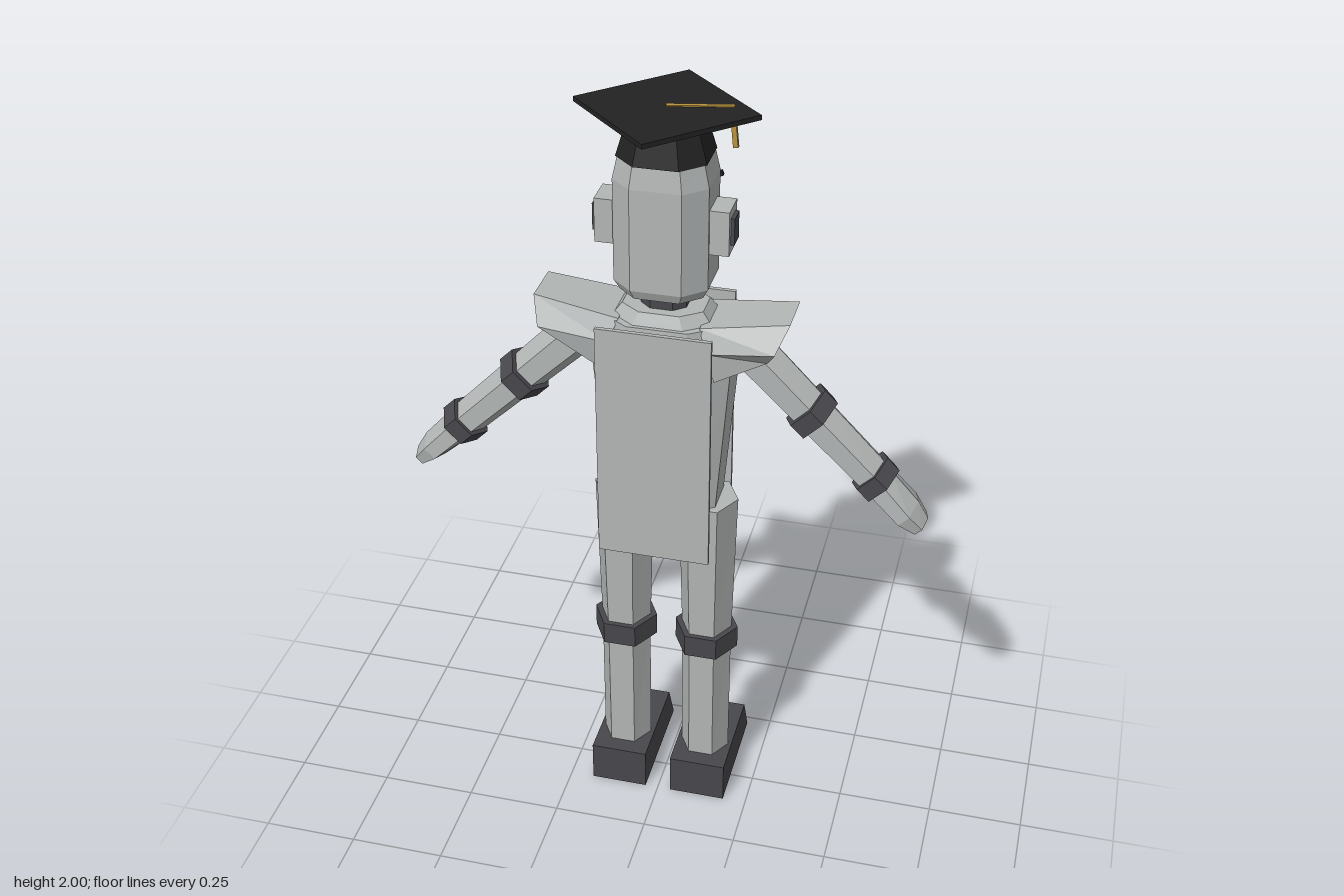
import * as THREE from 'three';

const mat = (name, color) => {
  const m = new THREE.MeshStandardMaterial({ color });
  m.name = name;
  return m;
};

// Ring outlines, counter-clockwise seen from above
const hex = (y, rx, rz) => [[1, 0], [0.5, -1], [-0.5, -1], [-1, 0], [-0.5, 1], [0.5, 1]]
  .map(([x, z]) => [x * rx, y, z * rz]);
const oct = (y, rx, rz, k = 0.5) => [[1, -k], [k, -1], [-k, -1], [-1, -k], [-1, k], [-k, 1], [k, 1], [1, k]]
  .map(([x, z]) => [x * rx, y, z * rz]);

// Skin closed rings, first to last, with flat end caps
function loft(rings) {
  const pos = [];
  const n = rings[0].length;
  const tri = (a, b, c) => pos.push(...a, ...b, ...c);
  for (let r = 0; r < rings.length - 1; r++) {
    const lo = rings[r], hi = rings[r + 1];
    for (let i = 0; i < n; i++) {
      const j = (i + 1) % n;
      tri(lo[i], lo[j], hi[j]);
      tri(lo[i], hi[j], hi[i]);
    }
  }
  const first = rings[0], last = rings[rings.length - 1];
  for (let i = 1; i < n - 1; i++) {
    tri(first[0], first[i + 1], first[i]);
    tri(last[0], last[i], last[i + 1]);
  }
  const g = new THREE.BufferGeometry();
  g.setAttribute('position', new THREE.Float32BufferAttribute(pos, 3));
  g.computeVertexNormals();
  return g;
}

export function createModel() {
  const model = new THREE.Group();
  model.name = 'robotGraduate';
  const metal = mat('light metal', 0xb2b6b5);
  const dark = mat('dark metal', 0x48474c);
  const black = mat('black', 0x222222);
  const gold = mat('gold', 0xb8923f);

  const add = (name, geo, material, parent = model) => {
    const m = new THREE.Mesh(geo, material);
    m.name = name;
    parent.add(m);
    return m;
  };
  const box = (name, material, size, at, rz = 0, parent = model) => {
    const m = add(name, new THREE.BoxGeometry(...size), material, parent);
    m.position.set(...at);
    m.rotation.z = rz;
    return m;
  };

  // Trunk
  add('torso', loft([oct(0.89, 0.135, 0.095), oct(1.34, 0.172, 0.115), oct(1.47, 0.15, 0.1)]), metal);
  add('collar', loft([oct(1.46, 0.13, 0.095), oct(1.48, 0.115, 0.085), oct(1.5, 0.1, 0.075)]), metal);
  add('neck', loft([oct(1.45, 0.056, 0.05), oct(1.56, 0.056, 0.05)]), dark);

  // Chest and back boards
  for (const [name, z] of [['chestBoard', -0.131], ['backBoard', 0.131]])
    box(name, metal, [0.286, 0.645, 0.011], [0, 1.152, z]);

  // Blank name plate border and neck tie on the chest
  for (const s of [-1, 1]) {
    box('plateBorder', black, [0.21, 0.006, 0.004], [0, 1.37 + s * 0.033, -0.138]);
    box('plateBorder', black, [0.006, 0.066, 0.004], [s * 0.102, 1.37, -0.138]);
    box('tie', black, [0.045, 0.014, 0.008], [s * 0.022, 1.472, -0.119], s * 0.35);
  }

  // Head
  add('head', loft([
    oct(1.545, 0.102, 0.094, 0.54), oct(1.57, 0.115, 0.105, 0.54),
    oct(1.83, 0.115, 0.105, 0.54), oct(1.9, 0.1, 0.095, 0.54),
  ]), metal);
  add('nose', loft([
    [[0.024, 1.655, -0.1], [0, 1.672, -0.158], [-0.024, 1.655, -0.1]],
    [[0.008, 1.7, -0.1], [0, 1.705, -0.112], [-0.008, 1.7, -0.1]],
  ]), metal);
  box('mouth', black, [0.06, 0.007, 0.008], [0, 1.635, -0.108]);
  box('mouth', black, [0.045, 0.006, 0.008], [0, 1.617, -0.108]);
  for (const s of [-1, 1]) {
    box('ear', metal, [0.05, 0.112, 0.08], [s * 0.137, 1.716, 0.01]);
    box('earCap', dark, [0.01, 0.068, 0.048], [s * 0.166, 1.716, 0.01]);
    box('lens', black, [0.088, 0.042, 0.018], [s * 0.05, 1.728, -0.122], s * 0.1);
    box('brow', black, [0.11, 0.012, 0.012], [s * 0.054, 1.768, -0.128], s * 0.35);
  }
  box('bridge', black, [0.03, 0.012, 0.016], [0, 1.735, -0.12]);

  // Graduation cap
  add('capBand', loft([oct(1.885, 0.108, 0.102), oct(1.975, 0.082, 0.078), oct(1.99, 0.078, 0.074)]), black);
  box('capBoard', black, [0.311, 0.012, 0.311], [0, 1.991, 0]).rotation.y = Math.PI / 4;
  const cord = box('tasselCord', gold, [0.155, 0.006, 0.012], [0.075, 1.997, -0.016]);
  cord.rotation.y = Math.atan2(0.032, 0.15);
  box('tassel', gold, [0.012, 0.1, 0.012], [0.151, 1.948, -0.033], 0.1);

  for (const s of [-1, 1]) {
    const side = s > 0 ? 'left' : 'right';

    // Flared shoulder pad, skinned outwards
    const section = (xt, yt, xm, ym, xb, yb, zt, zm, zb) => [
      [xm, ym, -zm], [xt, yt, -zt], [xt, yt, zt], [xm, ym, zm], [xb, yb, zb], [xb, yb, -zb]];
    const pad = add(side + 'ShoulderPad', loft([
      section(0.1, 1.475, 0.12, 1.42, 0.14, 1.34, 0.075, 0.1, 0.09),
      section(0.315, 1.505, 0.29, 1.45, 0.265, 1.4, 0.06, 0.118, 0.07),
    ]), metal);
    if (s < 0) pad.rotation.y = Math.PI;

    // Arm hangs along its local -y axis
    const arm = new THREE.Group();
    arm.name = side + 'Arm';
    arm.position.set(s * 0.22, 1.39, 0.005);
    arm.rotation.z = s * 0.79;
    model.add(arm);
    add('upperArm', loft([hex(-0.205, 0.052, 0.052), hex(0, 0.057, 0.054)]), metal, arm);
    add('elbowBand', loft([hex(-0.23, 0.066, 0.068), hex(-0.184, 0.066, 0.068)]), dark, arm);
    add('forearm', loft([hex(-0.442, 0.047, 0.05), hex(-0.205, 0.052, 0.052)]), metal, arm);
    add('wristBand', loft([hex(-0.464, 0.06, 0.06), hex(-0.42, 0.06, 0.06)]), dark, arm);
    add('hand', loft([hex(-0.612, 0.024, 0.042), hex(-0.56, 0.038, 0.058), hex(-0.45, 0.044, 0.05)]), metal, arm);
    const thumb = add('thumb', new THREE.ConeGeometry(0.016, 0.07, 4), metal, arm);
    thumb.position.set(0, -0.52, -0.056);
    thumb.rotation.x = Math.PI + 0.4;

    // Leg, knee band and wedge-toed foot
    const leg = new THREE.Group();
    leg.name = side + 'Leg';
    leg.position.x = s * 0.111;
    model.add(leg);
    add('thigh', loft([hex(0.5, 0.067, 0.06), hex(0.948, 0.078, 0.072)]), metal, leg);
    add('kneeBand', loft([hex(0.472, 0.085, 0.074), hex(0.535, 0.085, 0.074)]), dark, leg);
    add('shin', loft([hex(0.1, 0.066, 0.056), hex(0.5, 0.067, 0.06)]), metal, leg);
    const sole = (y, toe) => [[0.076, y, toe], [-0.076, y, toe], [-0.076, y, 0.1], [0.076, y, 0.1]];
    add('foot', loft([sole(0, -0.225), sole(0.115, -0.172)]), dark, leg);
  }
  return model;
}
